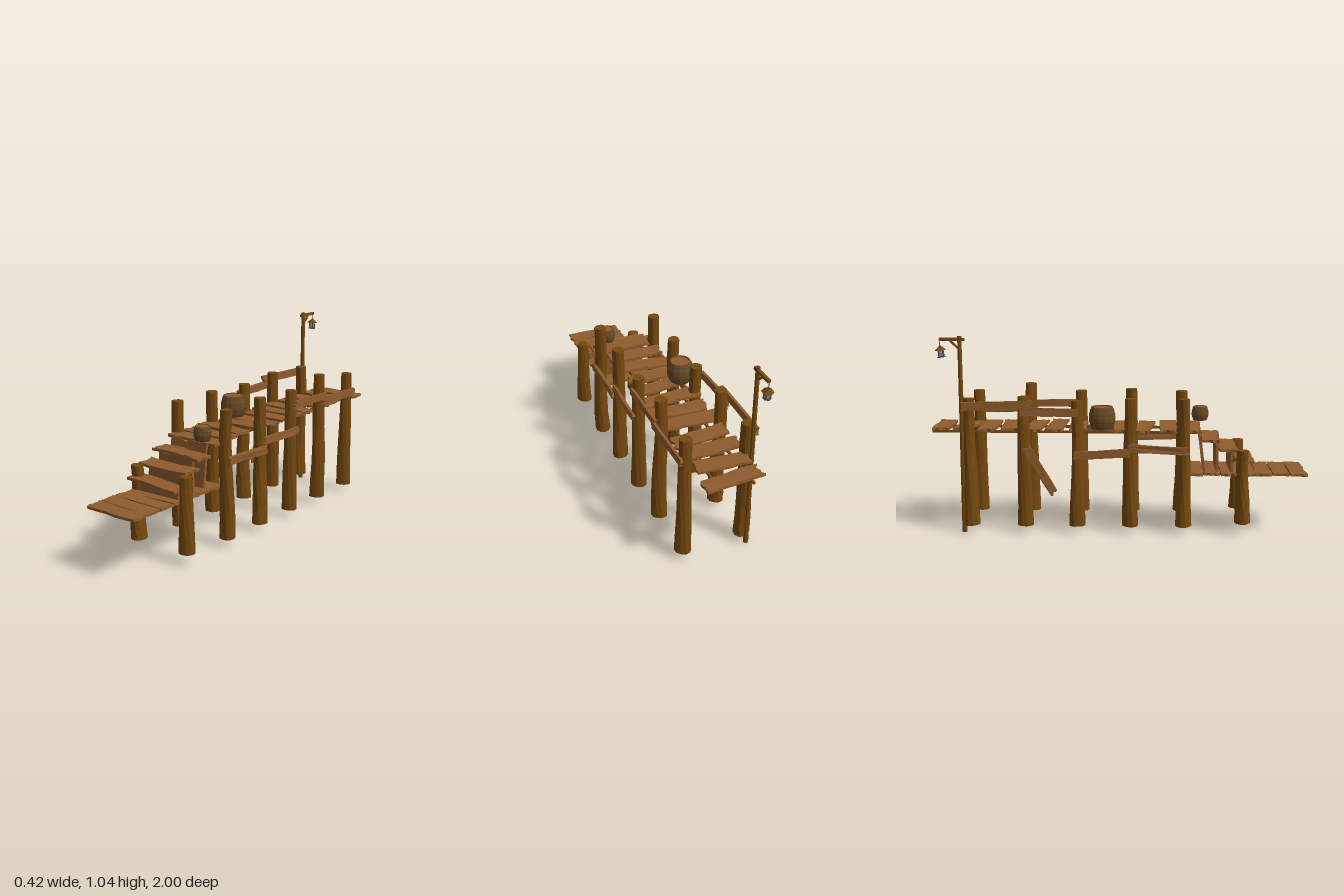
import * as THREE from 'three';

const mat = (color) => new THREE.MeshStandardMaterial({ color, flatShading: true });
const PLANK = mat(0x8f5c2e), POST = mat(0x75480f), BARREL = mat(0x70481a), IRON = mat(0x43484f), GLASS = mat(0x8a8f98);

export function createModel() {
  const model = new THREE.Group();
  let seed = 7;
  const rnd = (a) => { // seeded, -a..a
    seed = (seed * 16807) % 2147483647;
    return (seed / 2147483647 * 2 - 1) * a;
  };
  const add = (parent, name, geo, material, x, y, z) => {
    const m = new THREE.Mesh(geo, material);
    m.name = name;
    m.position.set(x, y, z);
    parent.add(m);
    return m;
  };

  // Weathered board in the XY plane: splintered ends, slightly wavy edges
  function board(len, width, thick, ragged = 0.011) {
    const pts = [], n = 5, wave = width * 0.05;
    for (let i = 0; i < n; i++) pts.push([-len / 2 + len * i / n + (i ? 0 : rnd(ragged)), -width / 2 + rnd(wave)]);
    for (let i = 0; i < n; i++) pts.push([len / 2 + rnd(ragged), -width / 2 + width * i / n]);
    for (let i = 0; i < n; i++) pts.push([len / 2 - len * i / n + (i ? 0 : rnd(ragged)), width / 2 + rnd(wave)]);
    for (let i = 0; i < n; i++) pts.push([-len / 2 + rnd(ragged), width / 2 - width * i / n]);
    const shape = new THREE.Shape(pts.map(([x, y]) => new THREE.Vector2(x, y)));
    const g = new THREE.ExtrudeGeometry(shape, { depth: thick, bevelEnabled: false });
    g.translate(0, 0, -thick / 2);
    // gentle warp through the thickness
    const p = g.attributes.position, k = rnd(0.005), ph = rnd(3);
    for (let i = 0; i < p.count; i++) p.setZ(i, p.getZ(i) + k * Math.sin(p.getX(i) * 14 + ph));
    g.computeVertexNormals();
    return g;
  }
  function floorPlank(name, x0, x1, y, z, width, yaw, ragged) {
    const g = board(x1 - x0, width, 0.014, ragged).rotateX(-Math.PI / 2);
    const m = add(model, name, g, PLANK, (x0 + x1) / 2, y, z);
    m.rotation.set(rnd(0.03), yaw, rnd(0.012));
  }
  function rail(name, x, z0, y0, z1, y1) {
    const g = board(Math.hypot(z1 - z0, y1 - y0), 0.042, 0.014, 0.008).rotateY(-Math.PI / 2);
    const m = add(model, name, g, PLANK, x, (y0 + y1) / 2, (z0 + z1) / 2);
    m.rotation.x = -Math.atan((y1 - y0) / (z1 - z0));
  }

  // Upper deck planks: [right edge, left edge, z, yaw]
  [[-0.15, 0.14, -0.94, 0.04], [-0.15, 0.12, -0.81, -0.13], [-0.17, 0.13, -0.69, -0.01],
    [-0.165, 0.14, -0.58, 0.07], [-0.17, 0.14, -0.44, -0.06], [-0.16, 0.15, -0.33, -0.06],
    [-0.17, 0.13, -0.21, 0.02], [-0.15, 0.14, -0.085, 0.05], [-0.15, 0.12, 0.02, 0.08],
    [-0.18, 0.12, 0.14, -0.13], [-0.165, 0.135, 0.27, 0], [-0.17, 0.14, 0.385, 0.01],
  ].forEach(([a, b, z, yaw]) => floorPlank('deckPlank', a, b, 0.55, z, 0.088, yaw));
  for (const x of [-0.095, 0.07]) {
    add(model, 'deckStringer', new THREE.BoxGeometry(0.012, 0.012, 1.42), POST, x, 0.531, -0.28);
    add(model, 'landingStringer', new THREE.BoxGeometry(0.012, 0.01, 0.57), POST, x, 0.309, 0.67);
  }

  // Lower landing
  for (let i = 0; i < 7; i++) floorPlank('landingPlank', -0.172, 0.138, 0.32, 0.955 - i * 0.091, 0.086, 0, 0.006);

  // Steps: treads and the upright boards carrying them
  [[0.385, 0.675], [0.447, 0.585], [0.5, 0.495]].forEach(([y, z]) =>
    floorPlank('stepTread', -0.172, 0.138, y, z, 0.095, rnd(0.03)));
  [[0.672, 0.38, 0.25], [0.602, 0.445, 0.24], [0.527, 0.5, 0.22]].forEach(([z, top, w]) =>
    add(model, 'stepRiser', board(w, top - 0.32, 0.014, 0.003), PLANK, w / 2 - 0.13, (top + 0.32) / 2, z));
  add(model, 'topRiser', board(0.24, 0.22, 0.014, 0.003), PLANK, -0.01, 0.44, 0.448).rotation.x = -0.13;

  // Gnarled posts: flared foot, twisting ridges, small lean
  function post(x, z, y0, y1) {
    const h = y1 - y0, g = new THREE.CylinderGeometry(1, 1, h, 10, 7);
    const p = g.attributes.position, a = rnd(3), lean = rnd(0.006), twist = 1.2 + rnd(0.4);
    for (let i = 0; i < p.count; i++) {
      const t = THREE.MathUtils.clamp(p.getY(i) / h + 0.5, 0, 1);
      const ang = Math.atan2(p.getZ(i), p.getX(i)) + t * twist;
      const rim = Math.hypot(p.getX(i), p.getZ(i));
      const r = rim * (0.031 + 0.012 * Math.pow(1 - t, 1.4)) * (1 + 0.06 * Math.sin(3 * ang + a + t * 2));
      p.setX(i, Math.cos(ang) * r + lean * Math.sin(t * 6));
      p.setZ(i, Math.sin(ang) * r + lean * Math.sin(t * 5 + a) * 0.7);
    }
    g.computeVertexNormals();
    add(model, 'post', g, POST, x, (y0 + y1) / 2, z);
  }
  // [z, foot, left top, right top]
  [[0.66, 0.06, 0.45, 0.45], [0.35, 0.04, 0.72, 0.72], [0.07, 0.04, 0.73, 0.72], [-0.21, 0.04, 0.72, 0.71],
    [-0.49, 0.04, 0.76, 0.73], [-0.78, 0.04, 0.72, 0.72]].forEach(([z, y0, left, right]) => {
    post(0.162, z, y0, left);
    post(-0.163, z, y0, right);
  });

  // Side rails nailed outside the posts: [z0, y0, z1, y1]
  [[0.37, 0.465, 0.06, 0.455], [0.07, 0.5, -0.23, 0.498], [-0.2, 0.645, -0.51, 0.64], [-0.48, 0.617, -0.81, 0.61]]
    .forEach((r) => rail('leftRail', 0.197, ...r));
  [[0.37, 0.45, 0.06, 0.465], [0.07, 0.44, -0.23, 0.422], [-0.2, 0.65, -0.51, 0.655], [-0.44, 0.69, -0.81, 0.682]]
    .forEach((r) => rail('rightRail', -0.199, ...r));
  rail('fallenRail', -0.2, -0.33, 0.22, -0.475, 0.465);

  // Barrels: bulging staves, recessed lid, iron hoops
  function barrel(x, y, z, r, h) {
    const b = new THREE.Group();
    b.name = 'barrel';
    b.position.set(x, y, z);
    model.add(b);
    const rad = (t) => r * (0.8 + 0.2 * Math.sin(Math.PI * t));
    const prof = [new THREE.Vector2(0, 0)];
    for (let i = 0; i <= 6; i++) prof.push(new THREE.Vector2(rad(i / 6), h * i / 6));
    prof.push(new THREE.Vector2(r * 0.7, h), new THREE.Vector2(r * 0.7, h * 0.95));
    add(b, 'barrelStaves', new THREE.LatheGeometry(prof, 14), BARREL, 0, 0, 0);
    add(b, 'barrelLid', new THREE.CylinderGeometry(r * 0.72, r * 0.72, h * 0.02, 14), PLANK, 0, h * 0.955, 0);
    for (const t of [0.12, 0.34, 0.66, 0.88]) {
      const d = 0.025, o = r * 0.02;
      add(b, 'barrelHoop', new THREE.CylinderGeometry(rad(t + d) + o, rad(t - d) + o, h * d * 2, 14), IRON, 0, h * t, 0);
    }
  }
  barrel(-0.132, 0.557, -0.08, 0.07, 0.118);
  barrel(0.085, 0.57, 0.445, 0.046, 0.076);

  // Lamp post with arm and brace
  const beam = (name, a, b, w) => {
    const A = new THREE.Vector3(...a), B = new THREE.Vector3(...b);
    const m = add(model, name, new THREE.BoxGeometry(w, w, A.distanceTo(B)), POST, 0, 0, 0);
    m.position.copy(A).add(B).multiplyScalar(0.5);
    m.lookAt(B);
  };
  add(model, 'lampPost', new THREE.CylinderGeometry(0.011, 0.014, 1.045, 8), POST, -0.174, 0.5225, -0.815);
  beam('lampArm', [-0.174, 1.028, -0.79], [-0.174, 1.028, -0.92], 0.015);
  beam('lampBrace', [-0.174, 0.975, -0.815], [-0.174, 1.022, -0.865], 0.01);

  // Hanging lantern
  const lantern = new THREE.Group();
  lantern.name = 'lantern';
  lantern.position.set(-0.174, 0.935, -0.91);
  lantern.rotation.x = -0.12;
  model.add(lantern);
  const disc = (name, top, bottom, h, material, y) =>
    add(lantern, name, new THREE.CylinderGeometry(top, bottom, h, 6), material, 0, y, 0);
  disc('lanternBase', 0.019, 0.021, 0.007, IRON, 0.003);
  disc('lanternGlass', 0.012, 0.012, 0.034, GLASS, 0.022);
  for (let i = 0; i < 4; i++) {
    const a = Math.PI / 4 + i * Math.PI / 2;
    add(lantern, 'lanternBar', new THREE.BoxGeometry(0.004, 0.034, 0.004), IRON, Math.cos(a) * 0.016, 0.022, Math.sin(a) * 0.016);
  }
  disc('lanternRoof', 0.01, 0.031, 0.018, POST, 0.046);
  disc('lanternCap', 0.005, 0.008, 0.008, IRON, 0.058);
  disc('lanternHook', 0.002, 0.002, 0.032, IRON, 0.075);
  return model;
}
